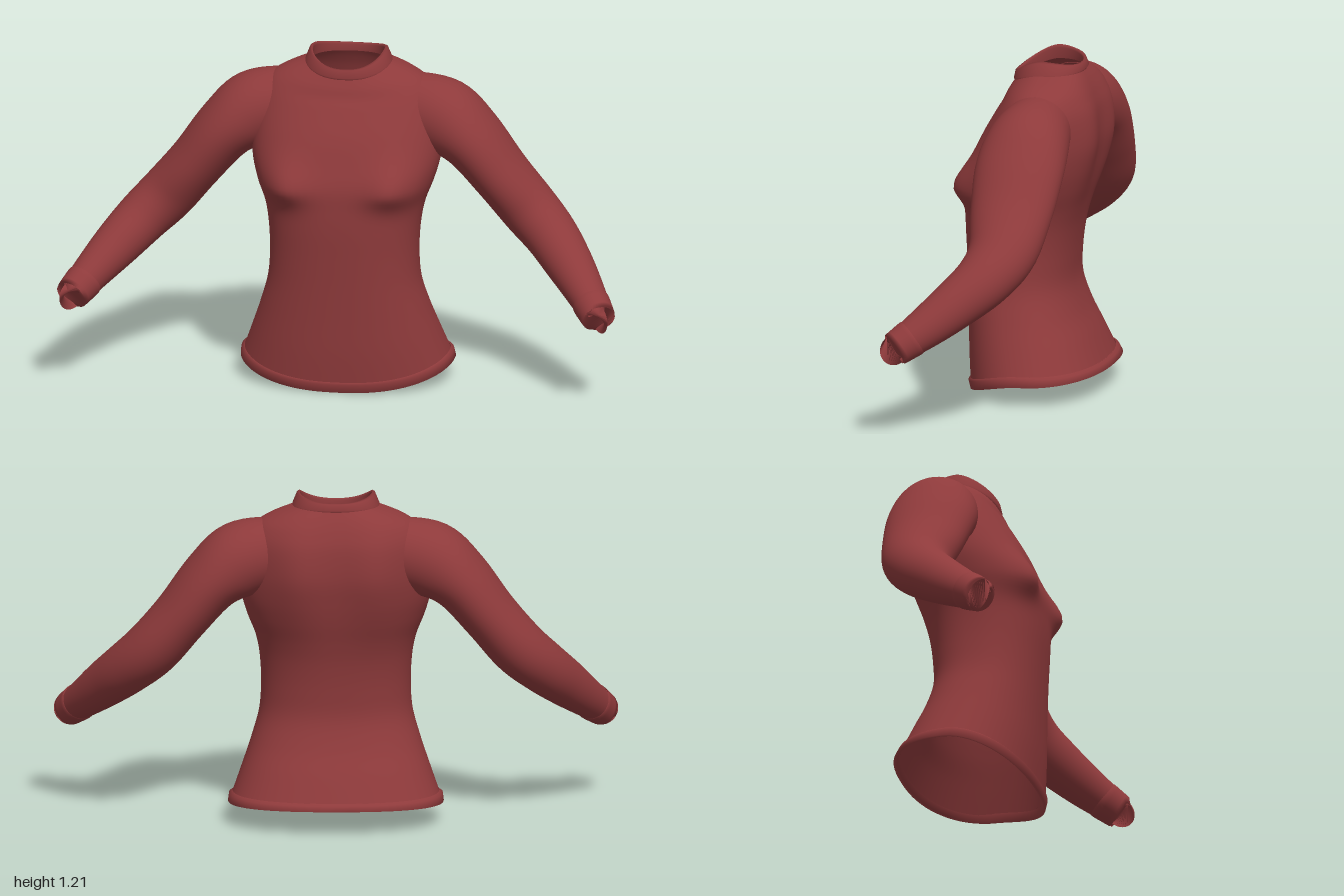
import * as THREE from 'three';

const red = new THREE.MeshStandardMaterial({ color: 0x8e3a3b, side: THREE.DoubleSide });
red.name = 'red knit';

// Smooth interpolation through a list of equal-length rows, t in 0..1
function sample(rows, t) {
  const n = rows.length - 1;
  const f = Math.min(Math.max(t, 0), 1) * n;
  const i = Math.min(Math.floor(f), n - 1), u = f - i;
  const row = k => rows[Math.min(Math.max(k, 0), n)];
  return rows[0].map((_, k) => {
    const p0 = row(i - 1)[k], p1 = row(i)[k], p2 = row(i + 1)[k], p3 = row(i + 2)[k];
    return 0.5 * (2 * p1 + (p2 - p0) * u + (2 * p0 - 5 * p1 + 4 * p2 - p3) * u * u
      + (3 * p1 - p0 - 3 * p2 + p3) * u * u * u);
  });
}

// Skin of closed rings; point(row, angle) returns [x, y, z]
function loft(name, rows, segments, point) {
  const pos = [], index = [];
  for (let j = 0; j <= rows; j++)
    for (let i = 0; i < segments; i++) pos.push(...point(j, (i / segments) * Math.PI * 2));
  for (let j = 0; j < rows; j++)
    for (let i = 0; i < segments; i++) {
      const k = (i + 1) % segments;
      const a = j * segments + i, b = j * segments + k;
      index.push(a, b, b + segments, a, b + segments, a + segments);
    }
  const geo = new THREE.BufferGeometry();
  geo.setAttribute('position', new THREE.Float32BufferAttribute(pos, 3));
  geo.setIndex(index);
  geo.computeVertexNormals();
  const mesh = new THREE.Mesh(geo, red);
  mesh.name = name;
  return mesh;
}

// Body ring: half width, front z, back z, then height at front, side and back
function bodyPoint([hw, zf, zb, yf, ys, yb], a) {
  const s = Math.sin(a), c = Math.cos(a);
  const x = hw * Math.sign(s) * Math.abs(s) ** 0.85;
  const z = (zf + zb) / 2 + ((zf - zb) / 2) * Math.sign(c) * Math.abs(c) ** 0.9;
  const y = ys + ((c > 0 ? yf : yb) - ys) * Math.abs(c) ** 1.5;
  return [x, y, z];
}

const bell = (d, w) => Math.exp(-(d * d) / (w * w));

// Bust and shoulder blade fullness
function shapeBody([x, y, z], a) {
  const c = Math.cos(a), ax = Math.abs(x);
  if (c > 0) z += 0.05 * bell(ax - 0.2, 0.09) * bell(y - 0.755, y < 0.755 ? 0.06 : 0.1) * Math.min(1, c * 2);
  else z -= 0.025 * bell(ax - 0.14, 0.09) * bell(y - 0.93, 0.2) * Math.min(1, -c * 2);
  return [x, y, z];
}

const bodyRings = [
  [0.368, 0.212, -0.265, 0.04, 0.11, 0.12],
  [0.335, 0.22, -0.225, 0.15, 0.2, 0.21],
  [0.3, 0.225, -0.182, 0.28, 0.3, 0.3],
  [0.272, 0.23, -0.152, 0.4, 0.4, 0.4],
  [0.265, 0.235, -0.153, 0.5, 0.5, 0.5],
  [0.27, 0.24, -0.165, 0.6, 0.6, 0.6],
  [0.285, 0.24, -0.183, 0.68, 0.68, 0.68],
  [0.315, 0.235, -0.205, 0.76, 0.76, 0.76],
  [0.335, 0.21, -0.222, 0.84, 0.84, 0.84],
  [0.335, 0.175, -0.235, 0.93, 0.93, 0.93],
  [0.32, 0.125, -0.232, 1.02, 1.03, 1.03],
  [0.285, 0.1, -0.217, 1.06, 1.1, 1.09],
  [0.23, 0.085, -0.197, 1.095, 1.138, 1.135],
  [0.15, 0.065, -0.175, 1.13, 1.17, 1.17],
];

const hemRings = [
  [0.366, 0.206, -0.265, 0.045, 0.115, 0.125],
  [0.37, 0.205, -0.275, 0.012, 0.085, 0.1],
  [0.382, 0.212, -0.288, 0.012, 0.085, 0.1],
  [0.378, 0.22, -0.277, 0.042, 0.112, 0.118],
  [0.366, 0.212, -0.264, 0.05, 0.12, 0.125],
];

const collarRings = [
  [0.155, 0.068, -0.178, 1.122, 1.162, 1.163],
  [0.154, 0.073, -0.183, 1.13, 1.172, 1.172],
  [0.138, 0.067, -0.175, 1.158, 1.212, 1.194],
  [0.13, 0.06, -0.168, 1.16, 1.217, 1.195],
  [0.126, 0.055, -0.163, 1.152, 1.205, 1.188],
  [0.134, 0.056, -0.164, 1.125, 1.165, 1.165],
];

// Sleeve ring: centre x, y, z, then radius across the arm and front to back
const sleeveRings = [
  [0.22, 1.0, -0.07, 0.125, 0.12],
  [0.34, 0.967, -0.065, 0.135, 0.148],
  [0.44, 0.893, -0.06, 0.112, 0.16],
  [0.545, 0.765, -0.06, 0.1, 0.148],
  [0.645, 0.647, -0.055, 0.1, 0.125],
  [0.73, 0.565, -0.01, 0.094, 0.105],
  [0.805, 0.49, 0.07, 0.085, 0.09],
  [0.865, 0.428, 0.145, 0.073, 0.078],
  [0.912, 0.378, 0.21, 0.062, 0.066],
];

const cuffRings = [
  [0.905, 0.386, 0.2, 0.06, 0.06],
  [0.908, 0.382, 0.205, 0.067, 0.069],
  [0.925, 0.364, 0.23, 0.064, 0.066],
  [0.943, 0.345, 0.256, 0.06, 0.062],
  [0.9445, 0.3435, 0.258, 0.055, 0.057],
];

// Tube with oval rings square to its path
function limb(name, rings, rows, side) {
  const at = t => {
    const r = sample(rings, t);
    return { p: new THREE.Vector3(r[0] * side, r[1], r[2]), ru: r[3], rv: r[4] };
  };
  const frames = Array.from({ length: rows + 1 }, (_, j) => {
    const t = j / rows, f = at(t);
    const T = at(t + 0.03).p.sub(at(t - 0.03).p).normalize();
    const V = new THREE.Vector3(0, 0, 1).addScaledVector(T, -T.z).normalize();
    return { ...f, V, U: new THREE.Vector3().crossVectors(T, V) };
  });
  return loft(name, rows, 40, (j, a) => {
    const f = frames[j];
    return f.p.clone().addScaledVector(f.U, f.ru * Math.sin(a))
      .addScaledVector(f.V, f.rv * Math.cos(a)).toArray();
  });
}

export function createModel() {
  const group = new THREE.Group();
  group.name = 'sweater';

  // Body with hem and collar bands
  group.add(loft('body', 78, 72, (j, a) => shapeBody(bodyPoint(sample(bodyRings, j / 78), a), a)));
  for (const [name, rings] of [['hem', hemRings], ['collar', collarRings]])
    group.add(loft(name, rings.length - 1, 72, (j, a) => bodyPoint(rings[j], a)));

  // Sleeves with cuffs
  for (const [label, side] of [['left', 1], ['right', -1]]) {
    group.add(limb(label + 'Sleeve', sleeveRings, 48, side));
    group.add(limb(label + 'Cuff', cuffRings, 8, side));
  }
  return group;
}
